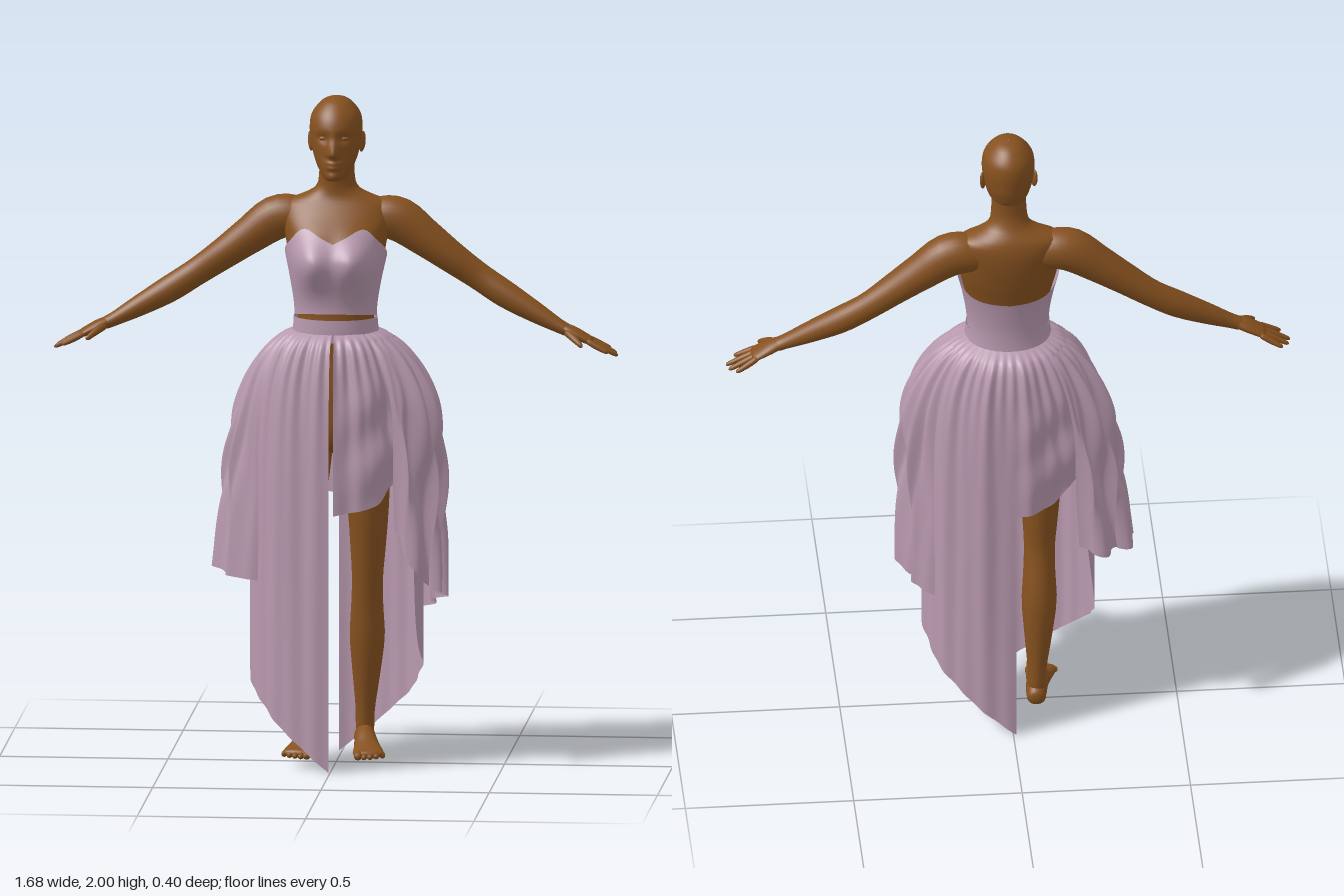
import * as THREE from 'three';
import { mergeVertices } from 'three/addons/utils/BufferGeometryUtils.js';
import { ParametricGeometry } from 'three/addons/geometries/ParametricGeometry.js';

const skin = new THREE.MeshStandardMaterial({ color: 0x86511f });
const cloth = new THREE.MeshStandardMaterial({ color: 0xb899ae, side: THREE.DoubleSide });
const { sin, cos, exp, abs, PI, min, max, sqrt } = Math;
const bell = (x, s) => exp(-(x * x) / (s * s));
const deg = PI / 180;

// Smooth lookup in a table whose first column is an ascending key
function at(rows, k) {
  const n = rows.length - 1;
  k = min(max(k, rows[0][0]), rows[n][0]);
  let i = 0;
  while (i < n - 1 && k > rows[i + 1][0]) i++;
  const a = rows[i], b = rows[i + 1], p = rows[max(i - 1, 0)], q = rows[min(i + 2, n)];
  const h = b[0] - a[0], t = (k - a[0]) / h, t2 = t * t, t3 = t2 * t;
  return a.slice(1).map((_, j) => {
    const c = j + 1;
    const m0 = (b[c] - p[c]) / (b[0] - p[0]) * h, m1 = (q[c] - a[c]) / (q[0] - a[0]) * h;
    return (2 * t3 - 3 * t2 + 1) * a[c] + (t3 - 2 * t2 + t) * m0 + (3 * t2 - 2 * t3) * b[c] + (t3 - t2) * m1;
  });
}

// Smooth surface from a rule f(u, v) -> [x, y, z]
function surface(f, nu, nv) {
  const g = new ParametricGeometry((u, v, p) => p.set(...f(u, v)), nu, nv);
  g.deleteAttribute('uv');
  g.deleteAttribute('normal');
  const m = mergeVertices(g, 1e-5);
  m.computeVertexNormals();
  return m;
}

// Tapered limb with rounded ends; rows are [x, y, z, radius, radius along axis]
function limb(rows, axis = [0, 0, 1], cap = 0.08, nu = 24, nv = 32) {
  const keyed = rows.map((r, i) => [i, ...r]), last = rows.length - 1;
  const ax = new THREE.Vector3(...axis);
  return surface((u, w) => {
    const v = 0.5 - 0.5 * cos(PI * w), k = v * last;
    const [x, y, z, ra, rb] = at(keyed, k);
    const p = at(keyed, k - 0.05), q = at(keyed, k + 0.05);
    const T = new THREE.Vector3(q[0] - p[0], q[1] - p[1], q[2] - p[2]).normalize();
    const N = ax.clone().cross(T).normalize(), A = T.clone().cross(N);
    const e = 1 - min(1, v / cap, (1 - v) / cap), r = sqrt(max(0, 1 - e * e));
    const c = new THREE.Vector3(x, y, z).addScaledVector(N, r * ra * cos(2 * PI * u)).addScaledVector(A, r * rb * sin(2 * PI * u));
    return c.toArray();
  }, nu, nv);
}

function mirrored(g) {
  const m = g.clone().scale(-1, 1, 1), ix = m.index.array;
  for (let i = 0; i < ix.length; i += 3) [ix[i], ix[i + 1]] = [ix[i + 1], ix[i]];
  m.computeVertexNormals();
  return m;
}

// Torso and neck: y, centre z, half width, half depth
const TORSO = [
  [0.93, 0, 0.02, 0.02], [0.96, 0, 0.14, 0.09], [1.1, 0, 0.165, 0.11], [1.22, 0.008, 0.135, 0.098], [1.31, 0.016, 0.116, 0.092],
  [1.37, 0.015, 0.114, 0.09], [1.45, 0.01, 0.126, 0.096], [1.53, -0.005, 0.143, 0.1], [1.6, -0.016, 0.155, 0.1],
  [1.65, -0.034, 0.162, 0.083], [1.682, -0.042, 0.148, 0.068], [1.7, -0.041, 0.1, 0.06],
  [1.722, -0.033, 0.064, 0.051], [1.76, -0.024, 0.053, 0.046], [1.83, -0.02, 0.052, 0.05],
];
function torsoPoint(a, y, off) {
  const [cz, rx, rz] = at(TORSO, y);
  const x = (rx + off) * sin(a), c = cos(a);
  const side = sqrt(x * x + 0.0006) - 0.066;
  const bust = 0.068 * bell(side, 0.062) * bell(y - 1.52, y < 1.52 ? 0.08 : 0.062) * min(1, max(0, c * 1.6));
  return [x, y, cz + (rz + off) * c + bust];
}

// Head: y, centre z, half width, half depth
const HEAD = [
  [1.752, 0.06, 0.002, 0.002], [1.758, 0.058, 0.024, 0.036], [1.775, 0.042, 0.04, 0.062], [1.8, 0.018, 0.056, 0.085],
  [1.84, 0.006, 0.069, 0.094], [1.88, 0.002, 0.076, 0.097], [1.915, 0, 0.078, 0.097], [1.95, -0.004, 0.071, 0.086],
  [1.98, -0.006, 0.048, 0.06], [1.994, -0.007, 0.027, 0.034], [2.0, -0.007, 0.001, 0.001],
];
function headPoint(u, v) {
  const a = 2 * PI * u + PI, y = 1.752 + 0.248 * (0.5 - 0.5 * cos(PI * v));
  const [cz, rx, rz] = at(HEAD, y), x = rx * sin(a), f = cos(a) > 0 ? 1 : 0;
  const face = 0.031 * bell(x, 0.015) * bell(y - 1.84, y > 1.84 ? 0.034 : 0.012)
    + 0.011 * bell(x, 0.024) * (bell(y - 1.813, 0.007) + bell(y - 1.799, 0.007))
    - 0.01 * bell(abs(x) - 0.03, 0.02) * bell(y - 1.884, 0.014)
    + 0.006 * bell(x, 0.022) * bell(y - 1.772, 0.012);
  return [x, y, cz + rz * cos(a) + f * face];
}

// Skirt silhouette: y, half width, half depth
const SKIRT = [
  [0, 0.25, 0.197], [0.25, 0.255, 0.197], [0.7, 0.253, 0.197], [1, 0.247, 0.194], [1.15, 0.23, 0.185],
  [1.24, 0.198, 0.168], [1.285, 0.162, 0.143], [1.305, 0.125, 0.105],
];
function skirtPoint(a, y, grow = 0) {
  const [rx, rz] = at(SKIRT, y), drop = 1.305 - y;
  const ramp = 1 - exp(-drop * 25);
  const fold = ramp * (0.005 * cos(11 * a + 1) * min(1, y + 0.3) + 0.002 * sin(23 * a) + 0.008 * cos(38 * a) * exp(-drop * 7));
  return [(rx * (1 + grow) + fold) * sin(a), y, 0.004 + (rz * (1 + grow) + fold) * cos(a)];
}

// Hem height by angle from the long point to the short edge
const HEM = [[0, 0], [45, 0.16], [90, 0.31], [104, 0.37], [118, 0.72], [130, 0.86], [150, 0.8], [180, 0.77]];
const skirtPanel = (start) => surface((u, v) => {
  const d = 180 * u, a = (start - d) * deg;
  const y = 1.305 - (1.305 - at(HEM, d)[0]) * v ** 1.5;
  const short = max(0, min(1, (d - 110) / 25)) * min(1, (180 - d) / 25);
  const swag = short * bell(y - 1.0, 0.2) * (0.05 + 0.035 * sin(28 * y + 0.09 * d));
  return skirtPoint(a, y, swag);
}, 160, 48);

// Gathered hip cascade, fullest near its first edge; hem runs edge to edge, flare runs down
const cascade = (from, to, hem, flare) => surface((u, v) => {
  const a = (from + (to - from) * u) * deg;
  const y = 1.28 - (1.28 - at(hem, u)[0]) * v ** 1.2;
  const edge = sqrt(sin(PI * min(0.995, max(0.005, u)) ** 0.7));
  const ruffle = 0.075 * sin(u * 8 * PI + 2 * sin(5 * v)) * min(1, v * 2.5) + 0.025 * sin(u * 17 * PI + 6 * v);
  return skirtPoint(a + 0.06 * cos(u * 8 * PI) * v, y, edge * (at(flare, v)[0] + ruffle) + 0.015);
}, 110, 44);

export function createModel() {
  const model = new THREE.Group();
  const add = (name, geo, mat = skin, parent = model) => {
    const m = new THREE.Mesh(geo, mat);
    m.name = name;
    parent.add(m);
  };
  const pair = (name, geo) => {
    add('left ' + name, geo);
    add('right ' + name, mirrored(geo));
  };

  // Body
  add('torso', surface((u, v) => torsoPoint(2 * PI * u + PI, 0.93 + 0.9 * v, 0), 56, 80));
  add('head', surface(headPoint, 72, 64));
  const ear = new THREE.SphereGeometry(1, 16, 12).scale(0.008, 0.031, 0.018);
  pair('ear', ear.rotateX(-0.2).rotateY(-0.35).translate(0.076, 1.862, -0.012));
  pair('eye', new THREE.SphereGeometry(0.011, 16, 12).scale(1.3, 0.7, 0.8).translate(0.03, 1.884, 0.077));

  // Arms and hands
  pair('arm', limb([
    [0.03, 1.615, -0.045, 0.035, 0.035], [0.11, 1.628, -0.046, 0.058, 0.056], [0.18, 1.624, -0.047, 0.066, 0.061], [0.26, 1.57, -0.046, 0.056, 0.055],
    [0.34, 1.512, -0.045, 0.047, 0.048], [0.42, 1.456, -0.047, 0.041, 0.039], [0.5, 1.405, -0.036, 0.04, 0.04],
    [0.59, 1.355, -0.02, 0.031, 0.033], [0.66, 1.318, -0.008, 0.021, 0.026], [0.7, 1.3, -0.004, 0.018, 0.026],
  ], [0, 0, 1], 0.06, 28, 44));
  pair('palm', limb([[0.67, 1.315, -0.006, 0.015, 0.022], [0.71, 1.297, -0.004, 0.017, 0.034], [0.765, 1.27, -0.006, 0.011, 0.038]], [0, 0, 1], 0.12));
  const fingers = [[0.022, 0.036, 0.812], [0.003, 0.006, 0.838], [-0.016, -0.024, 0.832], [-0.034, -0.054, 0.812]];
  fingers.forEach(([z0, z1, x], i) => pair('finger ' + (i + 1), limb([
    [0.745, 1.28, z0, 0.009, 0.01], [(0.745 + x) / 2, 1.264 - (x - 0.8) * 0.2, (z0 + z1) / 2, 0.009, 0.009],
    [x, 1.635 - x * 0.48, z1, 0.006, 0.006],
  ], [0, 0, 1], 0.12, 10, 12)));
  pair('thumb', limb([[0.685, 1.303, 0.01, 0.012, 0.013], [0.71, 1.288, 0.042, 0.011, 0.011], [0.737, 1.268, 0.07, 0.006, 0.007]], [0, 1, 0], 0.12, 10, 12));

  // Legs and feet
  pair('leg', limb([
    [0.083, 1.08, 0, 0.08, 0.09], [0.088, 0.92, 0, 0.075, 0.085], [0.095, 0.76, 0, 0.061, 0.071],
    [0.094, 0.64, -0.005, 0.052, 0.059], [0.092, 0.55, -0.01, 0.046, 0.051], [0.09, 0.46, -0.025, 0.048, 0.052],
    [0.089, 0.37, -0.037, 0.052, 0.055], [0.085, 0.25, -0.048, 0.04, 0.043], [0.081, 0.14, -0.056, 0.028, 0.033],
    [0.08, 0.05, -0.06, 0.031, 0.037],
  ]));
  pair('foot', limb([
    [0.076, 0.052, -0.1, 0.024, 0.025], [0.079, 0.066, -0.06, 0.04, 0.031], [0.086, 0.065, -0.01, 0.039, 0.033],
    [0.095, 0.052, 0.04, 0.026, 0.039], [0.103, 0.043, 0.085, 0.016, 0.046], [0.108, 0.039, 0.115, 0.011, 0.042],
  ], [1, 0, 0]));
  for (let i = 0; i < 5; i++) {
    const x = 0.074 + i * 0.0175, r = i ? 0.0085 : 0.012, z = 0.14 - i * i * 0.0025;
    pair('toe ' + (i + 1), limb([[x, 0.04, 0.095 - i * 0.003, r, r], [x + 0.003, 0.026 + r, z, r, r]], [1, 0, 0], 0.2, 10, 10));
  }

  // Bodice with a sweetheart neckline
  const neckline = [[0, 1.572], [12, 1.588], [32, 1.612], [55, 1.575], [90, 1.525], [125, 1.478], [180, 1.465]];
  add('bodice', surface((u, v) => {
    const a = 2 * PI * u + PI, d = abs(2 * u - 1) * 180;
    const top = at(neckline, d)[0], low = 1.346 + 0.016 * cos(a);
    return torsoPoint(a, low + (top - low) * v, 0.009);
  }, 80, 36), cloth);

  // Skirt: waistband, two rotated panels and a cascade on each hip
  const skirt = new THREE.Group();
  skirt.name = 'skirt';
  model.add(skirt);
  add('waistband', surface((u, v) => torsoPoint(2 * PI * u, 1.275 + 0.068 * v, 0.011), 56, 6), cloth, skirt);
  add('front panel', skirtPanel(359), cloth, skirt);
  add('back panel', skirtPanel(182), cloth, skirt);
  add('left cascade', cascade(42, 118, [[0, 0.72], [0.2, 0.57], [0.6, 0.51], [1, 0.45]],
    [[0, 0], [0.15, 0.13], [0.35, 0.24], [1, 0.25]]), cloth, skirt);
  add('right cascade', cascade(220, 300, [[0, 0.64], [0.25, 0.6], [0.65, 0.58], [1, 0.56]],
    [[0, 0], [0.15, 0.08], [0.5, 0.24], [1, 0.42]]), cloth, skirt);
  return model;
}
